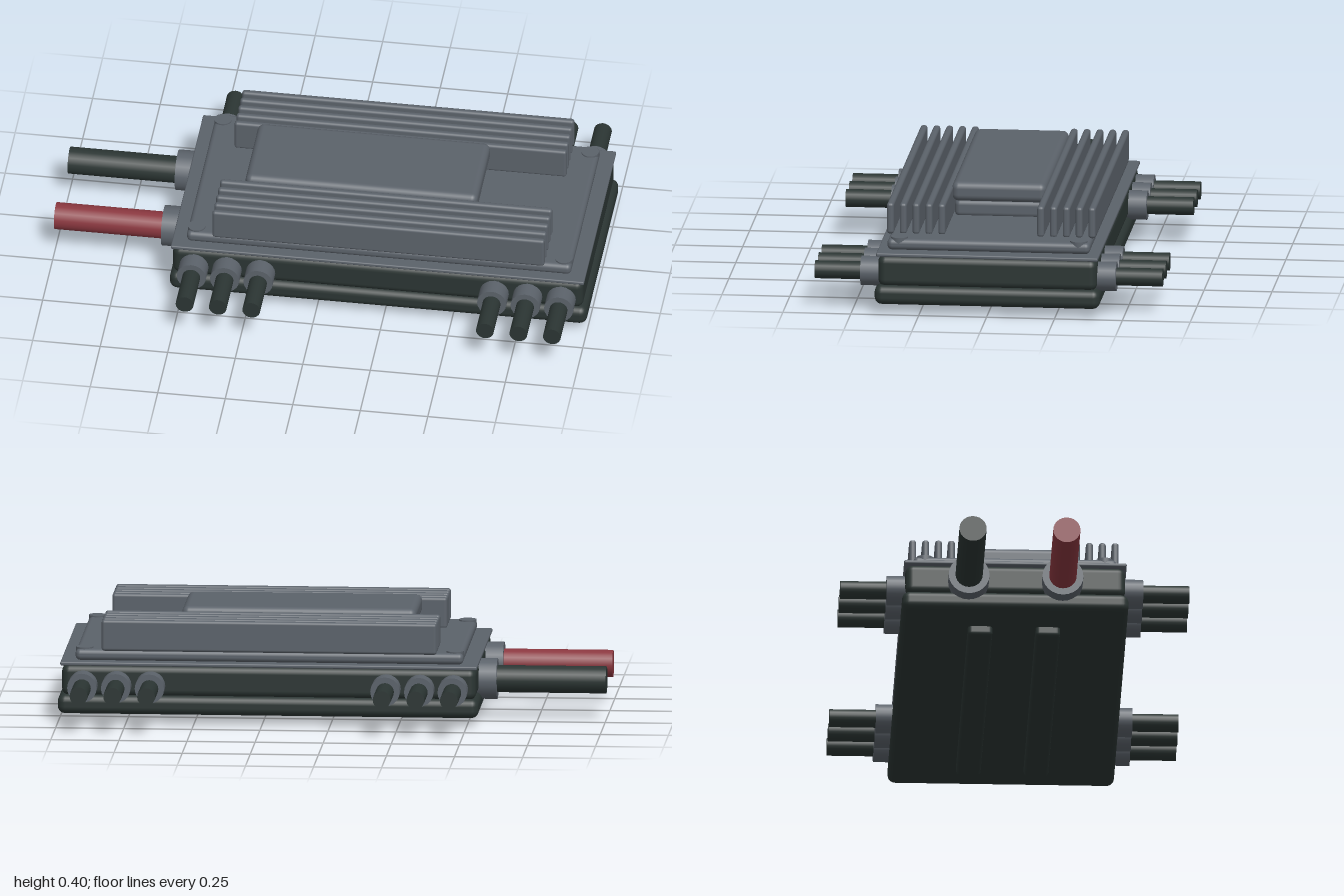
import * as THREE from 'three';
import { RoundedBoxGeometry } from 'three/addons/geometries/RoundedBoxGeometry.js';

export function createModel() {
  const model = new THREE.Group();
  model.name = 'motorController';

  const mat = (name, color) => {
    const m = new THREE.MeshStandardMaterial({ color });
    m.name = name;
    return m;
  };
  const grey = mat('metal grey', 0x5b626a);
  const black = mat('casing black', 0x2b3533);
  const red = mat('cable red', 0x8a373f);

  const add = (name, geometry, material) => {
    const mesh = new THREE.Mesh(geometry, material);
    mesh.name = name;
    model.add(mesh);
    return mesh;
  };

  // Rounded block given by its extents on each axis
  const block = (name, [x0, x1], [y0, y1], [z0, z1], radius, material) => {
    const g = new RoundedBoxGeometry(x1 - x0, y1 - y0, z1 - z0, 3, radius);
    add(name, g, material).position.set((x0 + x1) / 2, (y0 + y1) / 2, (z0 + z1) / 2);
  };

  // Cylinder running from one point to another
  const rod = (name, from, to, radius, material, sides = 20) => {
    const a = new THREE.Vector3(...from);
    const b = new THREE.Vector3(...to);
    const mesh = add(name, new THREE.CylinderGeometry(radius, radius, a.distanceTo(b), sides), material);
    mesh.position.copy(a).add(b).multiplyScalar(0.5);
    mesh.quaternion.setFromUnitVectors(new THREE.Vector3(0, 1, 0), b.sub(a).normalize());
  };

  // Casing: lower tray, upper body, thin lid and heat sink base
  block('lowerTray', [-0.545, 1.0], [0.035, 0.107], [-0.415, 0.415], 0.028, black);
  block('upperBody', [-0.535, 0.985], [0.1, 0.217], [-0.403, 0.403], 0.028, black);
  block('lid', [-0.54, 0.99], [0.215, 0.229], [-0.408, 0.408], 0.005, grey);
  block('heatSinkBase', [-0.487, 0.937], [0.228, 0.27], [-0.373, 0.373], 0.018, grey);

  // Raised centre pad on its narrower pedestal
  block('padPedestal', [-0.28, 0.54], [0.262, 0.328], [-0.165, 0.165], 0.02, grey);
  block('centrePad', [-0.3, 0.56], [0.325, 0.398], [-0.174, 0.174], 0.025, grey);

  for (const s of [-1, 1]) {
    // Cooling fins
    for (let i = 0; i < 5; i++) {
      const z = s * (0.182 + i * 0.0473);
      block('coolingFin', [-0.39, 0.84], [0.266, 0.382], [z - 0.013, z + 0.013], 0.011, grey);
    }

    // Mounting rail underneath
    const z = s * 0.124;
    block('mountingRail', [-0.39, 0.84], [0, 0.06], [z - 0.045, z + 0.045], 0.015, black);

    // Corner screws
    for (const x of [-0.455, 0.905]) {
      rod('screw', [x, 0.25, s * 0.33], [x, 0.275, s * 0.33], 0.032, grey);
    }

    // Phase cables with collars along the long sides
    for (const x of [-0.454, -0.331, -0.207, 0.658, 0.782, 0.906]) {
      rod('phaseCollar', [x, 0.143, s * 0.38], [x, 0.143, s * 0.47], 0.054, grey);
      rod('phaseCable', [x, 0.143, s * 0.46], [x, 0.143, s * 0.64], 0.033, black);
    }

    // Power cables at the left end
    rod('powerCollar', [-0.51, 0.145, s * 0.172], [-0.6, 0.145, s * 0.172], 0.075, grey, 24);
    rod('powerCable', [-0.59, 0.145, s * 0.172], [-1, 0.145, s * 0.172], 0.05, s > 0 ? red : black, 24);
  }

  return model;
}
